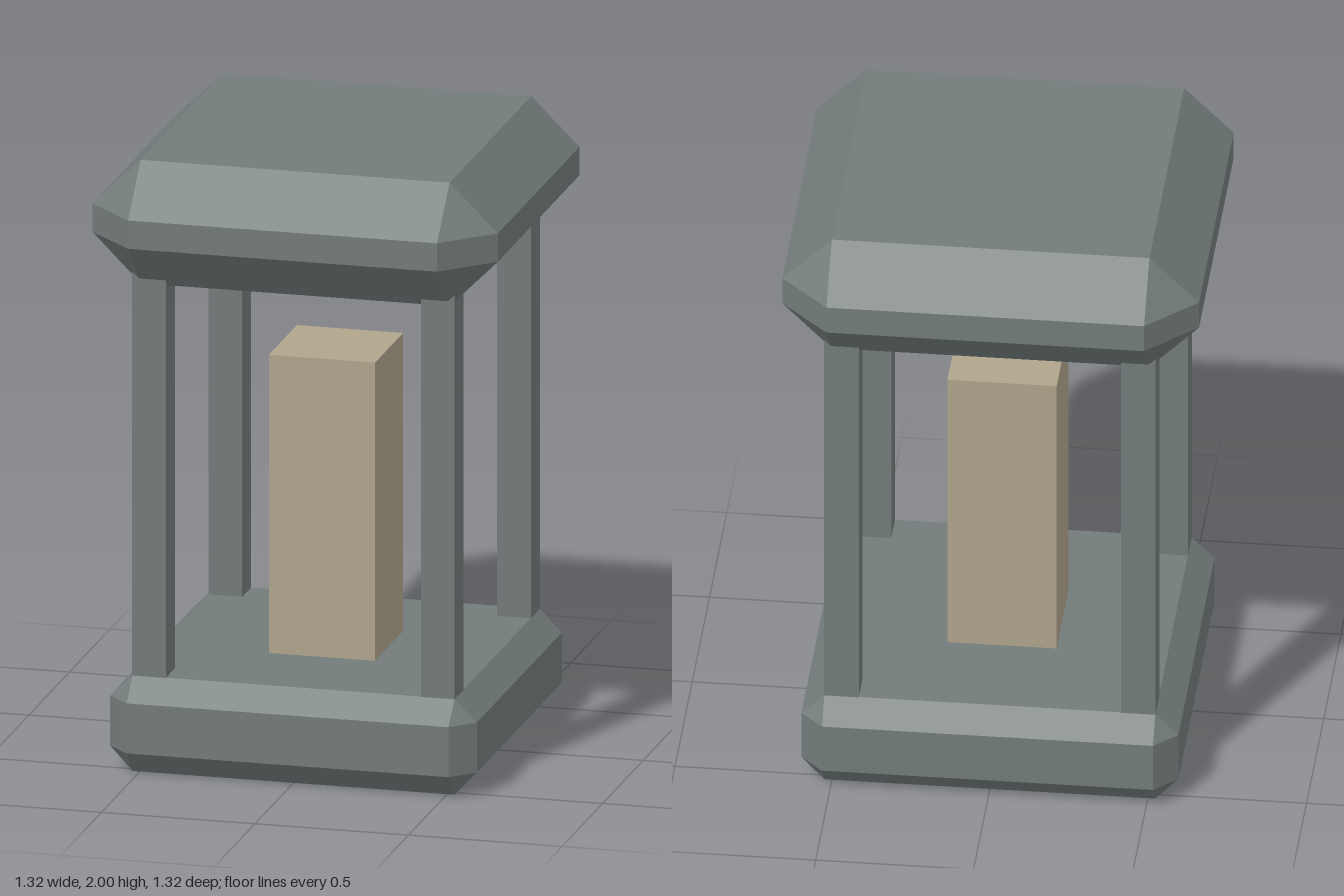
import * as THREE from 'three';
import { ConvexGeometry } from 'three/addons/geometries/ConvexGeometry.js';

const stone = new THREE.MeshStandardMaterial({ color: 0x737b7b, flatShading: true });
const wax = new THREE.MeshStandardMaterial({ color: 0xb0a58c, flatShading: true });

// Square slab with every edge chamfered and a triangle at each corner
function chamferedSlab(half, inner, y0, bandLow, bandHigh, y1) {
  const points = [];
  for (const sx of [-1, 1]) {
    for (const sz of [-1, 1]) {
      for (const y of [y0, y1]) points.push(new THREE.Vector3(sx * inner, y, sz * inner));
      for (const y of [bandLow, bandHigh]) {
        points.push(new THREE.Vector3(sx * half, y, sz * inner));
        points.push(new THREE.Vector3(sx * inner, y, sz * half));
      }
    }
  }
  return new ConvexGeometry(points);
}

// Square upright between two heights
function upright(width, y0, y1) {
  return new THREE.BoxGeometry(width, y1 - y0, width).translate(0, (y0 + y1) / 2, 0);
}

export function createModel() {
  const model = new THREE.Group();
  model.name = 'lantern';
  const add = (name, geometry, material, x = 0, z = 0) => {
    const mesh = new THREE.Mesh(geometry, material);
    mesh.name = name;
    mesh.position.set(x, 0, z);
    model.add(mesh);
  };

  // Base and roof
  add('base', chamferedSlab(0.597, 0.524, 0, 0.078, 0.242, 0.314), stone);
  add('roof', chamferedSlab(0.66, 0.503, 1.595, 1.752, 1.845, 2), stone);

  // Corner posts, sunk slightly into base and roof
  const post = upright(0.11, 0.3, 1.64);
  for (const sx of [-1, 1]) {
    for (const sz of [-1, 1]) {
      const name = (sz > 0 ? 'front' : 'back') + (sx > 0 ? 'Left' : 'Right') + 'Post';
      add(name, post, stone, sx * 0.47, sz * 0.47);
    }
  }

  // Candle standing in the middle
  add('candle', upright(0.346, 0.3, 1.292), wax);
  return model;
}
